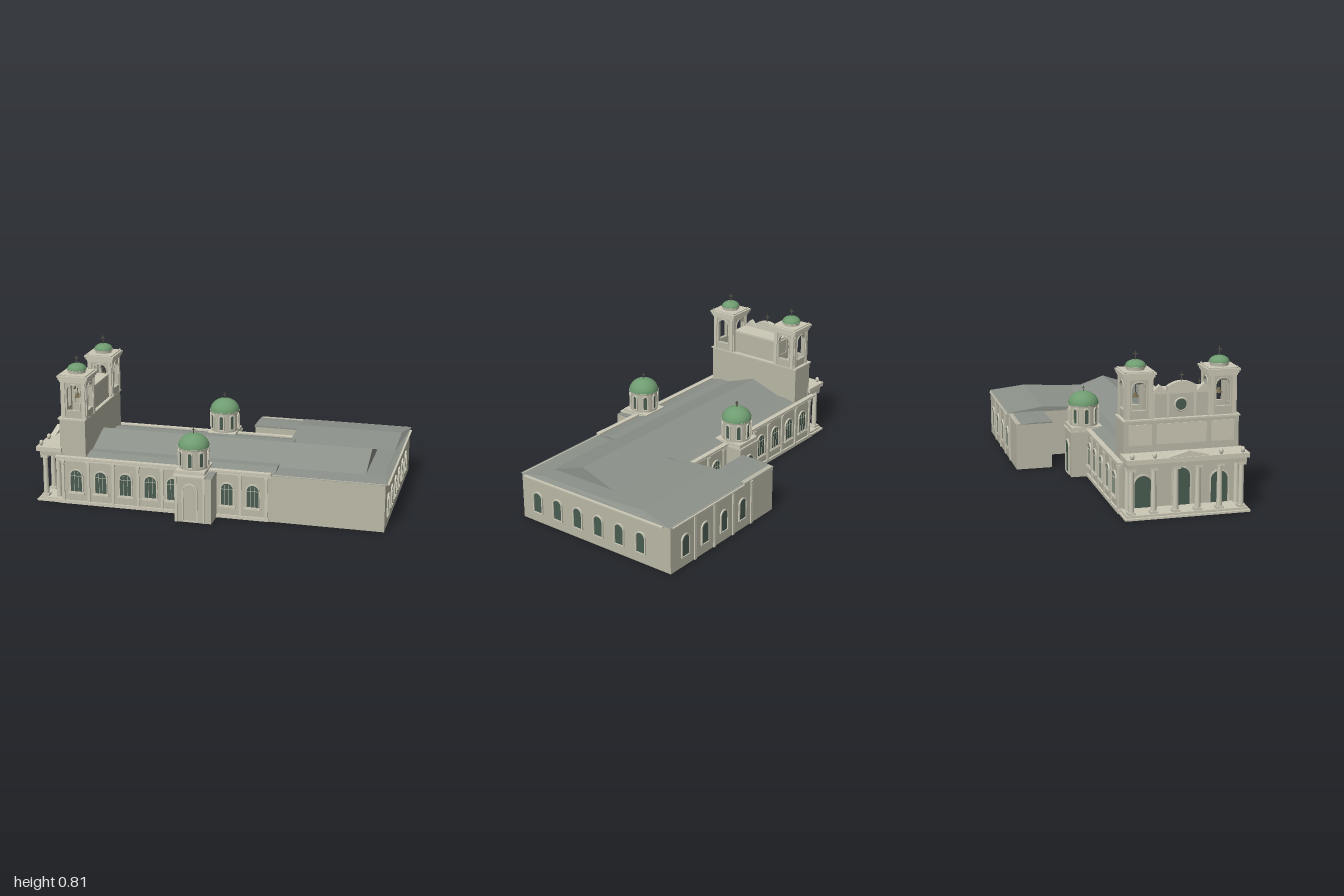
import * as THREE from 'three';

const mat = (color, side = THREE.FrontSide) => new THREE.MeshStandardMaterial({ color, side });
const STONE = mat(0xbab8a6), TRIM = mat(0xcbc8b6), ROOF = mat(0x8c918a, THREE.DoubleSide);
const DOME = mat(0x6f9c70), GLASS = mat(0x485c50), IRON = mat(0x55554a), BELL = mat(0x75694f, THREE.DoubleSide);
const MID = 0.105; // z of the nave axis

function add(parent, name, geo, material, x = 0, y = 0, z = 0, ry = 0) {
  const m = new THREE.Mesh(geo, material);
  m.name = name;
  m.position.set(x, y, z);
  m.rotation.y = ry;
  parent.add(m);
  return m;
}

// box given by its limits
function block(parent, name, material, x0, x1, y0, y1, z0, z1) {
  return add(parent, name, new THREE.BoxGeometry(x1 - x0, y1 - y0, z1 - z0), material,
    (x0 + x1) / 2, (y0 + y1) / 2, (z0 + z1) / 2);
}

const extrude = (shape, depth) =>
  new THREE.ExtrudeGeometry(shape, { depth, bevelEnabled: false, curveSegments: 10 });

const polygon = (points) => new THREE.Shape(points.map(([x, y]) => new THREE.Vector2(x, y)));

// roof with a (z, y) profile swept along x; hip pulls the raised far end inwards
function roof(parent, name, x0, x1, profile, hip = 0) {
  const geo = extrude(polygon(profile.map(([z, y]) => [-z, y])), x1 - x0);
  geo.rotateY(Math.PI / 2);
  const low = Math.min(...profile.map((p) => p[1])) + 0.003;
  const p = geo.attributes.position;
  for (let i = 0; i < p.count; i++)
    if (p.getX(i) > 0.01 && p.getY(i) > low) p.setX(i, p.getX(i) - hip);
  geo.computeVertexNormals();
  return add(parent, name, geo, ROOF, x0);
}

// round-headed outline standing on y = base
function arch(w, h, base = 0, S = THREE.Shape) {
  const s = new S();
  s.moveTo(-w / 2, base);
  s.lineTo(w / 2, base);
  s.lineTo(w / 2, base + h - w / 2);
  s.absarc(0, base + h - w / 2, w / 2, 0, Math.PI, false);
  s.lineTo(-w / 2, base);
  return s;
}

// framed arched window or door; faces +z before turning
function archedWindow(parent, name, x, y, z, ry, w, h, bars = false, pane = GLASS) {
  const g = new THREE.Group();
  g.name = name;
  g.position.set(x, y, z);
  g.rotation.y = ry;
  parent.add(g);
  const ring = arch(w + 0.014, h + 0.012, -0.005);
  ring.holes.push(arch(w, h, 0, THREE.Path));
  add(g, 'frame', extrude(ring, 0.008), TRIM);
  add(g, 'pane', extrude(arch(w, h), 0.003), pane);
  if (bars) {
    for (const s of [-1, 1])
      block(g, 'mullion', TRIM, s * w / 6 - 0.001, s * w / 6 + 0.001, 0, h - w * 0.15, 0, 0.005);
    block(g, 'transom', TRIM, -w / 2, w / 2, h - w / 2 - 0.002, h - w / 2, 0, 0.005);
    block(g, 'sill', TRIM, -w / 2 - 0.014, w / 2 + 0.014, -0.012, -0.004, 0, 0.014);
  }
}

function cross(parent, x, y, z, h) {
  const t = 0.0022;
  block(parent, 'crossPost', IRON, x - t, x + t, y, y + h, z - t, z + t);
  block(parent, 'crossArm', IRON, x - t, x + t, y + h * 0.64, y + h * 0.72, z - h * 0.26, z + h * 0.26);
  block(parent, 'crossArm', IRON, x - h * 0.26, x + h * 0.26, y + h * 0.64, y + h * 0.72, z - t, z + t);
}

function dome(parent, x, y, z, r, h) {
  const geo = new THREE.SphereGeometry(r, 32, 12, 0, Math.PI * 2, 0, Math.PI / 2).scale(1, h / r, 1);
  add(parent, 'dome', geo, DOME, x, y, z);
  add(parent, 'domeRim', new THREE.CylinderGeometry(r * 1.03, r, 0.006, 32), TRIM, x, y - 0.002, z);
}

// open belfry with a bell, cornice and small dome
function belfry(parent, x, z) {
  const g = new THREE.Group();
  g.name = 'bellTower';
  g.position.set(x, 0.475, z);
  parent.add(g);
  const w = 0.138;
  for (let i = 0; i < 4; i++) {
    const side = new THREE.Group();
    side.name = 'belfrySide';
    side.rotation.y = i * Math.PI / 2;
    g.add(side);
    const wall = polygon([[-w / 2, 0], [w / 2, 0], [w / 2, 0.21], [-w / 2, 0.21]]);
    wall.holes.push(arch(0.072, 0.143, 0.045, THREE.Path));
    add(side, 'belfryWall', extrude(wall, 0.016), STONE, 0, 0, w / 2 - 0.016);
    const rim = arch(0.082, 0.148, 0.045);
    rim.holes.push(arch(0.072, 0.143, 0.045, THREE.Path));
    add(side, 'archMoulding', extrude(rim, 0.004), TRIM, 0, 0, w / 2);
    for (const s of [-1, 1])
      block(side, 'pilaster', TRIM, s * 0.057 - 0.009, s * 0.057 + 0.009, 0, 0.2, w / 2, w / 2 + 0.005);
  }
  [[0.2, 0.212, 0.15], [0.212, 0.225, 0.162], [0.225, 0.236, 0.172], [0.236, 0.241, 0.15]].forEach(([a, b, s]) =>
    block(g, 'cornice', TRIM, -s / 2, s / 2, a, b, -s / 2, s / 2));
  for (const sx of [-1, 1]) for (const sz of [-1, 1])
    add(g, 'finial', new THREE.SphereGeometry(0.006, 10, 8), TRIM, sx * 0.072, 0.241, sz * 0.072);
  add(g, 'drum', new THREE.CylinderGeometry(0.046, 0.046, 0.025, 24), STONE, 0, 0.248, 0);
  dome(g, 0, 0.258, 0, 0.052, 0.033);
  cross(g, 0, 0.289, 0, 0.046);
  const bell = [[0.001, 0.126], [0.007, 0.124], [0.01, 0.112], [0.013, 0.104], [0.019, 0.1]];
  add(g, 'bell', new THREE.LatheGeometry(bell.map(([r, y]) => new THREE.Vector2(r, y)), 20), BELL);
  block(g, 'bellRope', IRON, -0.0015, 0.0015, 0.124, 0.165, -0.0015, 0.0015);
  block(g, 'bellBeam', IRON, -0.002, 0.002, 0.163, 0.168, -0.058, 0.058);
}

// drum with slit windows and a green dome on a square base
function sideDome(parent, x, z) {
  block(parent, 'domeBase', TRIM, x - 0.08, x + 0.08, 0.25, 0.278, z - 0.085, z + 0.085);
  add(parent, 'drum', new THREE.CylinderGeometry(0.077, 0.077, 0.115, 32), STONE, x, 0.333, z);
  for (let i = 0; i < 8; i++) {
    const a = i * Math.PI / 4;
    archedWindow(parent, 'drumWindow', x + 0.0755 * Math.sin(a), 0.295, z + 0.0755 * Math.cos(a), a, 0.019, 0.078);
  }
  dome(parent, x, 0.392, z, 0.083, 0.069);
  cross(parent, x, 0.458, z, 0.034);
}

export function createModel() {
  const root = new THREE.Group();
  root.name = 'church';
  const c = new THREE.Group();
  c.name = 'building';
  c.rotation.y = -0.0865;
  root.add(c);

  // nave and roofs
  block(c, 'naveWalls', STONE, -0.82, 0.36, 0, 0.258, MID - 0.32, MID + 0.32);
  roof(c, 'aisleRoof', -0.7, 0.36, [[-0.325, 0.256], [-0.235, 0.277], [0.235, 0.277], [0.325, 0.256]].map(([z, y]) => [z + MID, y]));
  roof(c, 'naveRoof', -0.69, 0.825, [[-0.215, 0.265], [0, 0.34], [0.215, 0.265]].map(([z, y]) => [z + MID, y]));

  // side walls, mirrored across the nave axis
  for (const s of [1, -1]) {
    const wallZ = MID + s * 0.32, ry = s > 0 ? 0 : Math.PI;
    const strip = (name, x0, x1, y0, y1, out) =>
      block(c, name, TRIM, x0, x1, y0, y1, wallZ - out, wallZ + out);
    strip('eavesCornice', -0.85, 0.345, 0.258, 0.268, 0.014);
    strip('cornice', -0.83, 0.345, 0.244, 0.25, 0.006);
    strip('plinth', -0.84, 0.335, 0, 0.018, 0.01);
    for (const x of [-0.735, -0.595, -0.455, -0.315, -0.19, 0.107, 0.247])
      archedWindow(c, 'naveWindow', x, 0.072, wallZ, ry, 0.064, 0.122, true);
    for (const x of [-0.81, -0.665, -0.525, -0.385, -0.25, 0.04, 0.177, 0.32]) {
      strip('pilaster', x - 0.007, x + 0.007, 0.018, 0.244, 0.008);
      strip('pilasterCap', x - 0.011, x + 0.011, 0.232, 0.244, 0.011);
    }
  }

  // rear cross block and its wing
  block(c, 'rearWalls', STONE, 0.335, 0.945, 0, 0.26, -0.57, 0.428);
  block(c, 'wing', STONE, 0.075, 0.34, 0, 0.258, -0.57, -0.37);
  roof(c, 'wingRoof', 0.07, 0.34, [[-0.573, 0.256], [-0.47, 0.263], [-0.367, 0.263], [-0.367, 0.256]]);
  roof(c, 'rearRoof', 0.333, 0.952, [[-0.575, 0.259], [-0.37, 0.288], [-0.1, 0.27], [0.3, 0.268], [0.433, 0.259]], 0.03);
  block(c, 'rearCornice', TRIM, 0.945, 0.962, 0.25, 0.256, -0.53, 0.4);
  block(c, 'wallCornice', TRIM, 0.34, 0.93, 0.25, 0.256, -0.58, -0.57);
  for (let i = 0; i < 6; i++)
    archedWindow(c, 'rearWindow', 0.945, 0.06, 0.32 - i * 0.14, Math.PI / 2, 0.053, 0.112);
  for (let i = 0; i < 4; i++) {
    archedWindow(c, 'transeptWindow', 0.83 - i * 0.16, 0.06, -0.57, Math.PI, 0.053, 0.115);
    block(c, 'pilaster', TRIM, 0.742 - i * 0.16, 0.758 - i * 0.16, 0, 0.25, -0.577, -0.57);
  }

  // domed side chapels
  block(c, 'southChapel', STONE, -0.15, 0.05, 0, 0.25, 0.36, 0.54);
  block(c, 'chapelCornice', TRIM, -0.156, 0.015, 0.25, 0.258, 0.36, 0.546);
  roof(c, 'chapelRoof', 0, 0.052, [[0.36, 0.25], [0.36, 0.262], [0.542, 0.25]]);
  archedWindow(c, 'blindDoor', -0.065, 0.01, 0.54, 0, 0.07, 0.2, false, STONE);
  for (const x of [-0.14, 0.01]) block(c, 'pilaster', TRIM, x - 0.006, x + 0.006, 0, 0.25, 0.54, 0.545);
  block(c, 'northChapel', STONE, -0.148, 0.008, 0, 0.26, -0.31, -0.2);
  block(c, 'chapelCornice', TRIM, -0.153, 0.013, 0.25, 0.258, -0.317, -0.2);
  archedWindow(c, 'northDoor', -0.07, 0.01, -0.31, Math.PI, 0.07, 0.18);
  sideDome(c, -0.07, 0.438);
  sideDome(c, -0.07, -0.223);

  // west front with twin bell towers
  block(c, 'facade', STONE, -0.83, -0.685, 0, 0.475, MID - 0.3, MID + 0.3);
  block(c, 'facadeCornice', TRIM, -0.838, -0.68, 0.468, 0.476, MID - 0.306, MID + 0.306);
  block(c, 'upperFacade', STONE, -0.815, -0.7, 0.47, 0.6, MID - 0.16, MID + 0.16);
  block(c, 'upperCornice', TRIM, -0.832, -0.698, 0.6, 0.61, MID - 0.15, MID + 0.15);
  for (const s of [-1, 1]) {
    belfry(c, -0.75, MID + s * 0.218);
    const scroll = polygon([[s * 0.075, 0.61], [s * 0.145, 0.61], [s * 0.145, 0.618], [s * 0.115, 0.648]]);
    add(c, 'sidePediment', extrude(scroll, 0.03), TRIM, -0.835, 0, MID, Math.PI / 2);
    for (const z of [0.07, 0.145])
      block(c, 'pilaster', TRIM, -0.825, -0.815, 0.476, 0.6, MID + s * z - 0.006, MID + s * z + 0.006);
    block(c, 'facadePanel', TRIM, -0.834, -0.83, 0.345, 0.45, MID + s * 0.215 - 0.06, MID + s * 0.215 + 0.06);
  }
  block(c, 'facadePanel', TRIM, -0.834, -0.83, 0.345, 0.45, MID - 0.13, MID + 0.13);
  const crown = new THREE.Shape().moveTo(-0.075, 0.61).lineTo(0.075, 0.61).lineTo(0.075, 0.638)
    .quadraticCurveTo(0, 0.686, -0.075, 0.638).lineTo(-0.075, 0.61);
  add(c, 'curvedPediment', extrude(crown, 0.03), TRIM, -0.835, 0, MID, Math.PI / 2);
  cross(c, -0.82, 0.66, MID, 0.045);
  add(c, 'roundWindow', new THREE.CylinderGeometry(0.03, 0.03, 0.006, 24).rotateZ(Math.PI / 2), GLASS, -0.817, 0.54, MID);
  add(c, 'roundWindowFrame', new THREE.TorusGeometry(0.032, 0.005, 8, 24), TRIM, -0.817, 0.54, MID, Math.PI / 2);
  for (const z of [-0.2, 0, 0.2])
    archedWindow(c, 'door', -0.83, 0.018, MID + z, -Math.PI / 2, 0.09, z ? 0.17 : 0.2);

  // columned porch
  block(c, 'porchStep', TRIM, -0.965, -0.82, 0, 0.01, MID - 0.325, MID + 0.325);
  block(c, 'porchFloor', TRIM, -0.952, -0.82, 0.01, 0.022, MID - 0.315, MID + 0.315);
  block(c, 'architrave', STONE, -0.948, -0.82, 0.258, 0.284, MID - 0.305, MID + 0.305);
  block(c, 'porchRoof', TRIM, -0.965, -0.82, 0.284, 0.308, MID - 0.316, MID + 0.316);
  const gable = polygon([[-0.11, 0.308], [0.11, 0.308], [0, 0.338]]);
  add(c, 'porchPediment', extrude(gable, 0.03), TRIM, -0.96, 0, MID, Math.PI / 2);
  for (let i = 0; i < 6; i++) {
    const z = MID - 0.285 + i * 0.114;
    add(c, 'column', new THREE.CylinderGeometry(0.0125, 0.015, 0.225, 16), TRIM, -0.925, 0.137, z);
    block(c, 'columnBase', TRIM, -0.945, -0.905, 0.022, 0.034, z - 0.02, z + 0.02);
    block(c, 'capital', TRIM, -0.945, -0.905, 0.243, 0.258, z - 0.02, z + 0.02);
    if (i < 2 || i > 3)
      add(c, 'finial', new THREE.SphereGeometry(0.011, 12, 8).scale(1, 1.5, 1), TRIM, -0.945, 0.322, z);
  }
  for (const s of [-1, 1])
    add(c, 'column', new THREE.CylinderGeometry(0.0125, 0.015, 0.236, 16), TRIM, -0.85, 0.14, MID + s * 0.285);
  return root;
}
